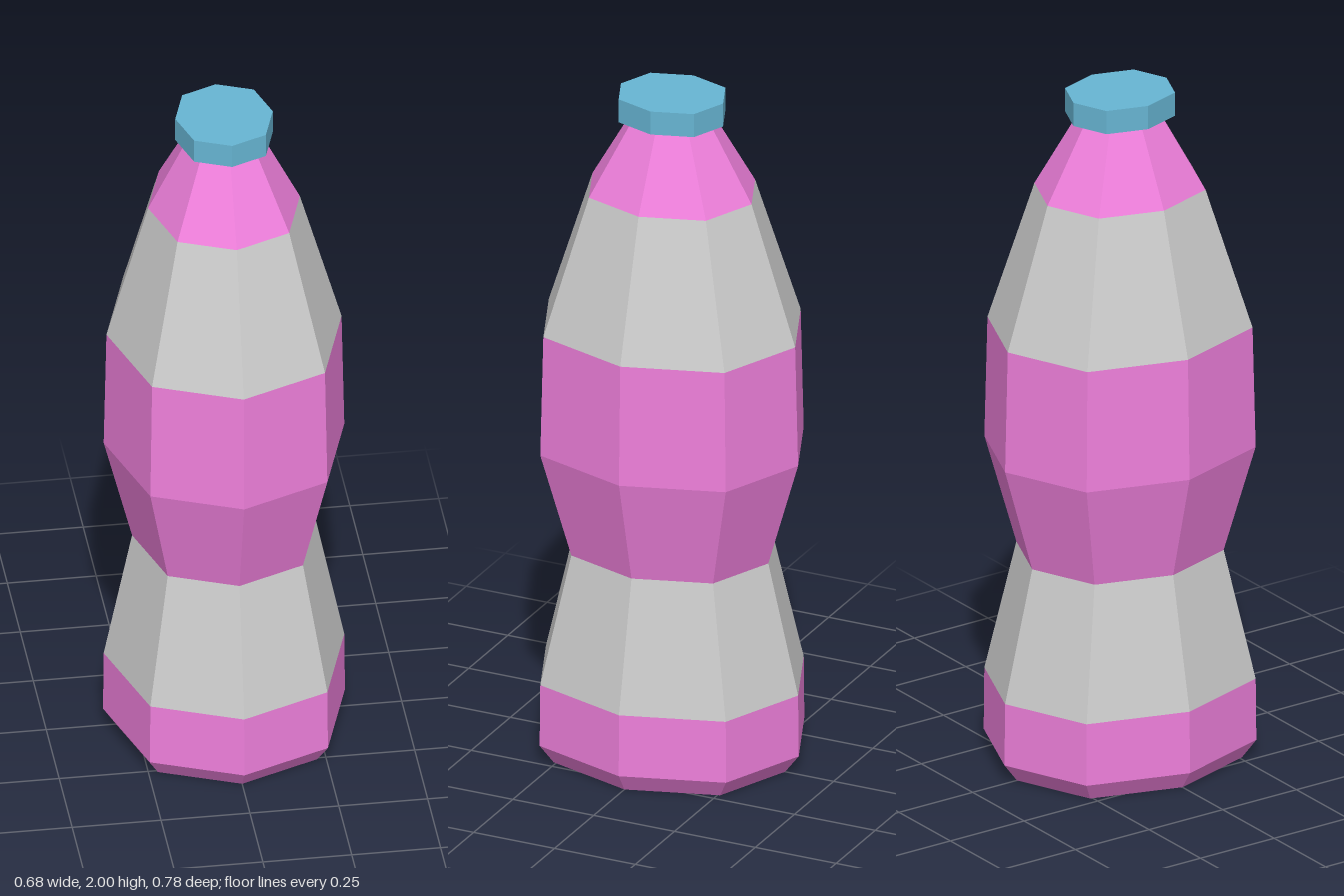
import * as THREE from 'three';

const PINK = 0xee7fdb, GREY = 0xcccccc, BLUE = 0x67b5d3;
const WIDTH = 0.868; // the bottle is narrower in x than in z

// Eight-sided band from [radius, height] points, listed bottom to top
function band(name, color, profile) {
  const points = profile.map(([r, y]) => new THREE.Vector2(r, y));
  const lathe = new THREE.LatheGeometry(points, 8);
  const pos = lathe.attributes.position;
  for (let i = 0; i < pos.count; i++) {
    const x = pos.getX(i), z = pos.getZ(i);
    // push the diagonal corners out a little
    const k = Math.min(Math.abs(x), Math.abs(z)) > 1e-4 ? 1.04 : 1;
    pos.setX(i, x * k * WIDTH);
    pos.setZ(i, z * k);
  }
  const geometry = lathe.toNonIndexed();
  geometry.computeVertexNormals();
  const material = new THREE.MeshStandardMaterial({ color, flatShading: true });
  const mesh = new THREE.Mesh(geometry, material);
  mesh.name = name;
  return mesh;
}

export function createModel() {
  const group = new THREE.Group();
  group.name = 'bottle';
  group.add(
    // closed bottom with a bevelled rim
    band('base', PINK, [[0, 0], [0.35, 0], [0.392, 0.055], [0.39, 0.24]]),
    // tapering to the grip
    band('lowerBody', GREY, [[0.39, 0.24], [0.298, 0.625]]),
    // flaring out again into the label
    band('middleBody', PINK, [[0.298, 0.625], [0.39, 0.94], [0.381, 1.3]]),
    band('shoulder', GREY, [[0.381, 1.3], [0.246, 1.71]]),
    band('neck', PINK, [[0.246, 1.71], [0.118, 1.93]]),
    // overhanging lid
    band('cap', BLUE, [[0, 1.93], [0.158, 1.93], [0.158, 2], [0, 2]])
  );
  return group;
}
